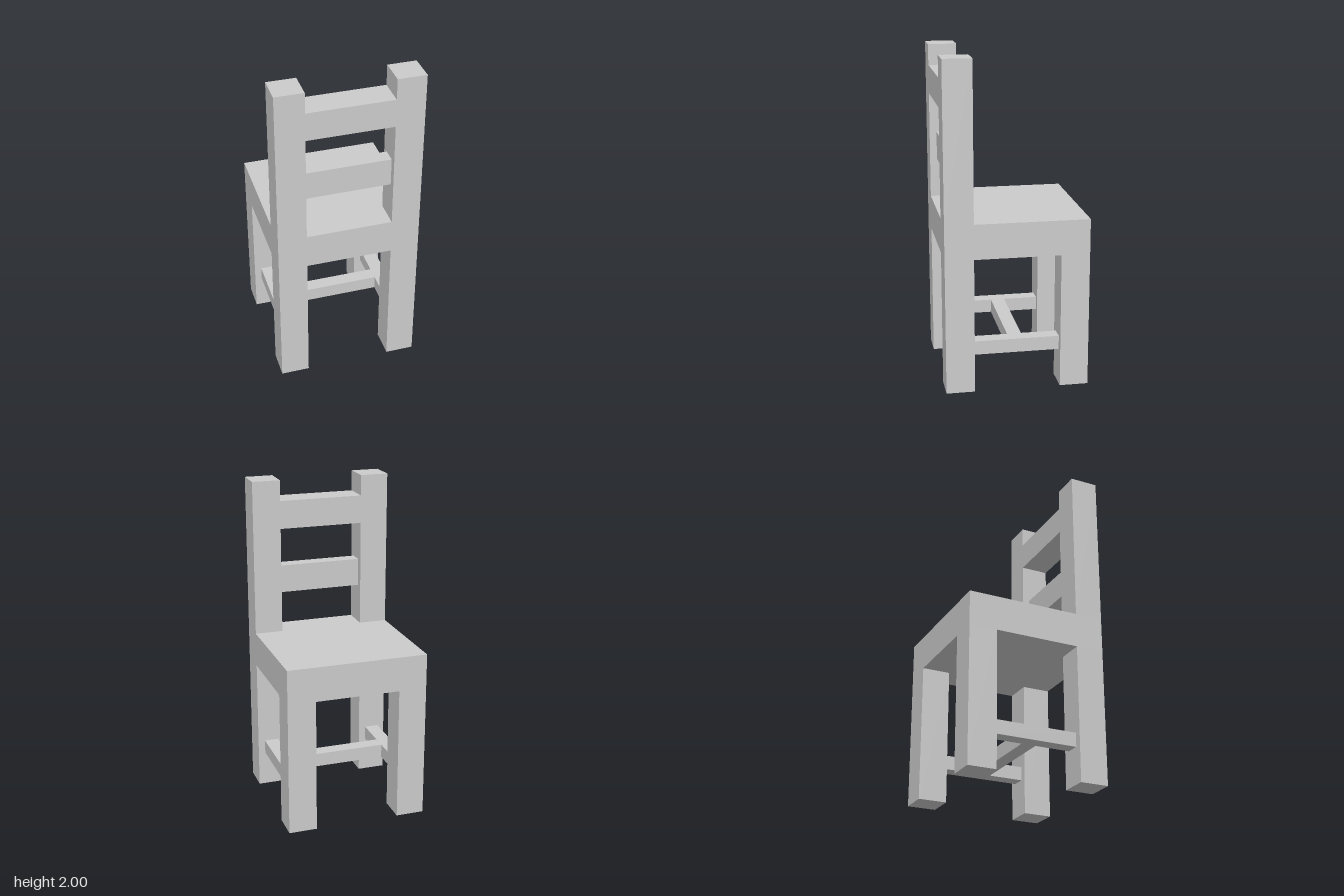
import * as THREE from 'three';

const OUT = 0.433;                // half width and depth of the chair
const IN = 0.26;                  // inner face of the posts
const MID = (OUT + IN) / 2;       // post centre line
const THIN = 0.087;               // thickness of stretchers and middle slat

export function createModel() {
  const chair = new THREE.Group();
  chair.name = 'chair';
  const material = new THREE.MeshStandardMaterial({ color: 0xcccccc, flatShading: true });

  // Box given by its ranges along each axis
  function block(name, [x0, x1], [y0, y1], [z0, z1]) {
    const mesh = new THREE.Mesh(new THREE.BoxGeometry(x1 - x0, y1 - y0, z1 - z0), material);
    mesh.position.set((x0 + x1) / 2, (y0 + y1) / 2, (z0 + z1) / 2);
    mesh.name = name;
    chair.add(mesh);
  }
  const around = (c, size) => [c - size / 2, c + size / 2];

  const seatY = [0.83, 1.043];
  const railY = [0.22, 0.305];

  // Thick seat, flush with the legs
  block('seat', [-OUT, OUT], seatY, [-OUT, OUT]);

  // Legs, back posts (on the +z side) and side stretchers
  for (const [side, s] of [['left', 1], ['right', -1]]) {
    const x = around(s * MID, OUT - IN);
    block(side + 'SeatLeg', x, [0, seatY[0]], [-OUT, -IN]);
    block(side + 'BackLeg', x, [0, seatY[0]], [IN, OUT]);
    block(side + 'BackPost', x, [seatY[1], 2], [IN, OUT]);
    block(side + 'Stretcher', around(s * MID, THIN), railY, [-IN, IN]);
  }

  // Cross stretcher joining the two side stretchers
  const reach = MID - THIN / 2;
  block('crossStretcher', [-reach, reach], railY, around(0, THIN));

  // Backrest: full-depth top rail and a thinner slat below it
  block('topRail', [-IN, IN], [1.7, 1.873], [IN, OUT]);
  block('middleSlat', [-IN, IN], [1.285, 1.457], around(MID, THIN));

  return chair;
}
